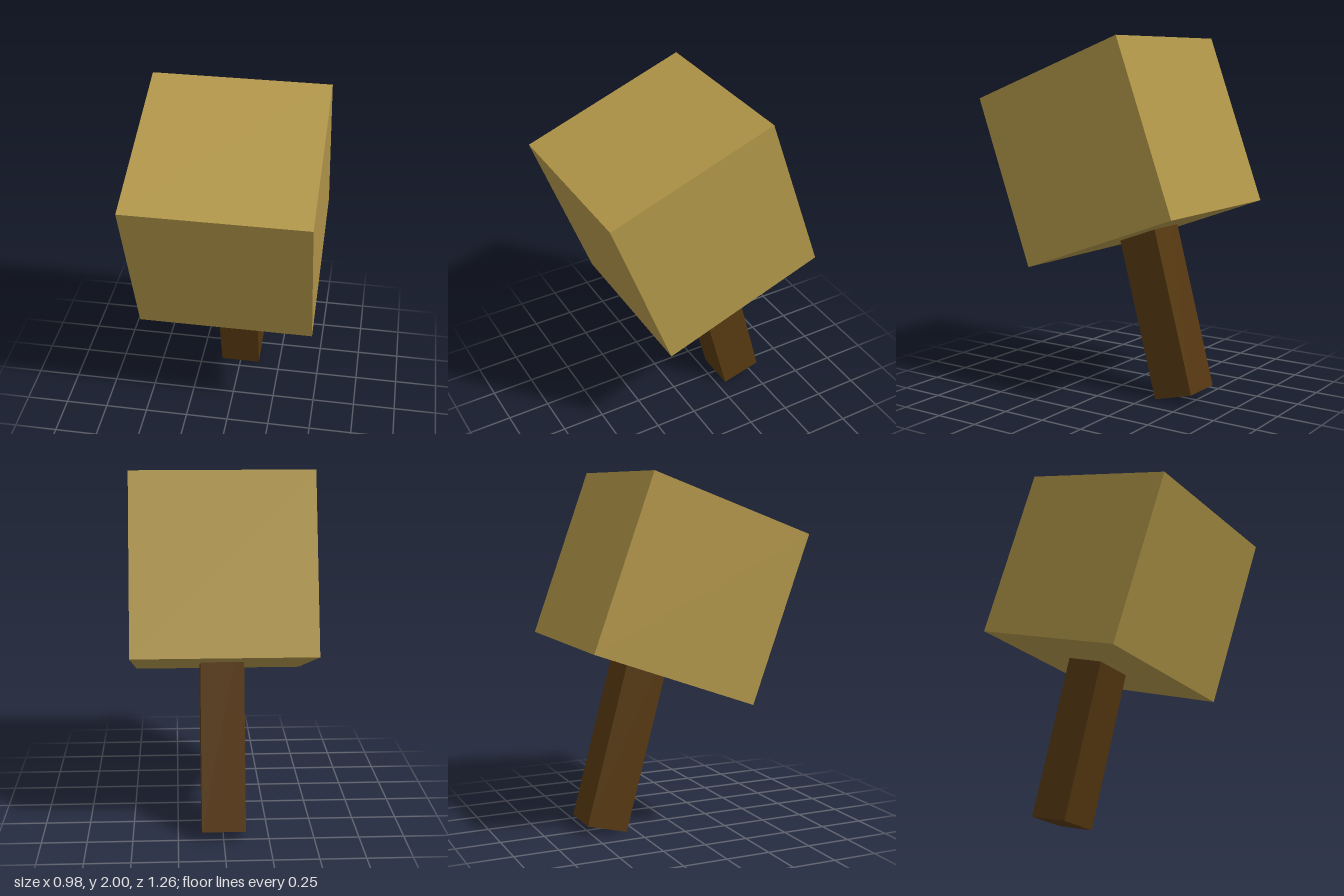
import * as THREE from 'three';

const straw = new THREE.MeshStandardMaterial({ color: 0xb09548 });
straw.name = 'straw';
const darkWood = new THREE.MeshStandardMaterial({ color: 0x563811 });
darkWood.name = 'darkWood';

export function createModel() {
  const model = new THREE.Group();
  model.name = 'mallet';

  // Cubic head, tipped forward
  const head = new THREE.Mesh(new THREE.BoxGeometry(0.98, 0.98, 0.98), straw);
  head.name = 'head';
  head.position.set(0, 1.375, 0);
  head.rotation.x = THREE.MathUtils.degToRad(20);
  model.add(head);

  // Square handle, pivoted at its foot and running up into the head
  const length = 1.2;
  const handleGeometry = new THREE.BoxGeometry(0.24, length, 0.24);
  handleGeometry.translate(0, length / 2, 0);
  const handle = new THREE.Mesh(handleGeometry, darkWood);
  handle.name = 'handle';
  handle.position.set(0, 0.032, -0.42);
  handle.rotation.x = THREE.MathUtils.degToRad(15);
  model.add(handle);

  return model;
}
